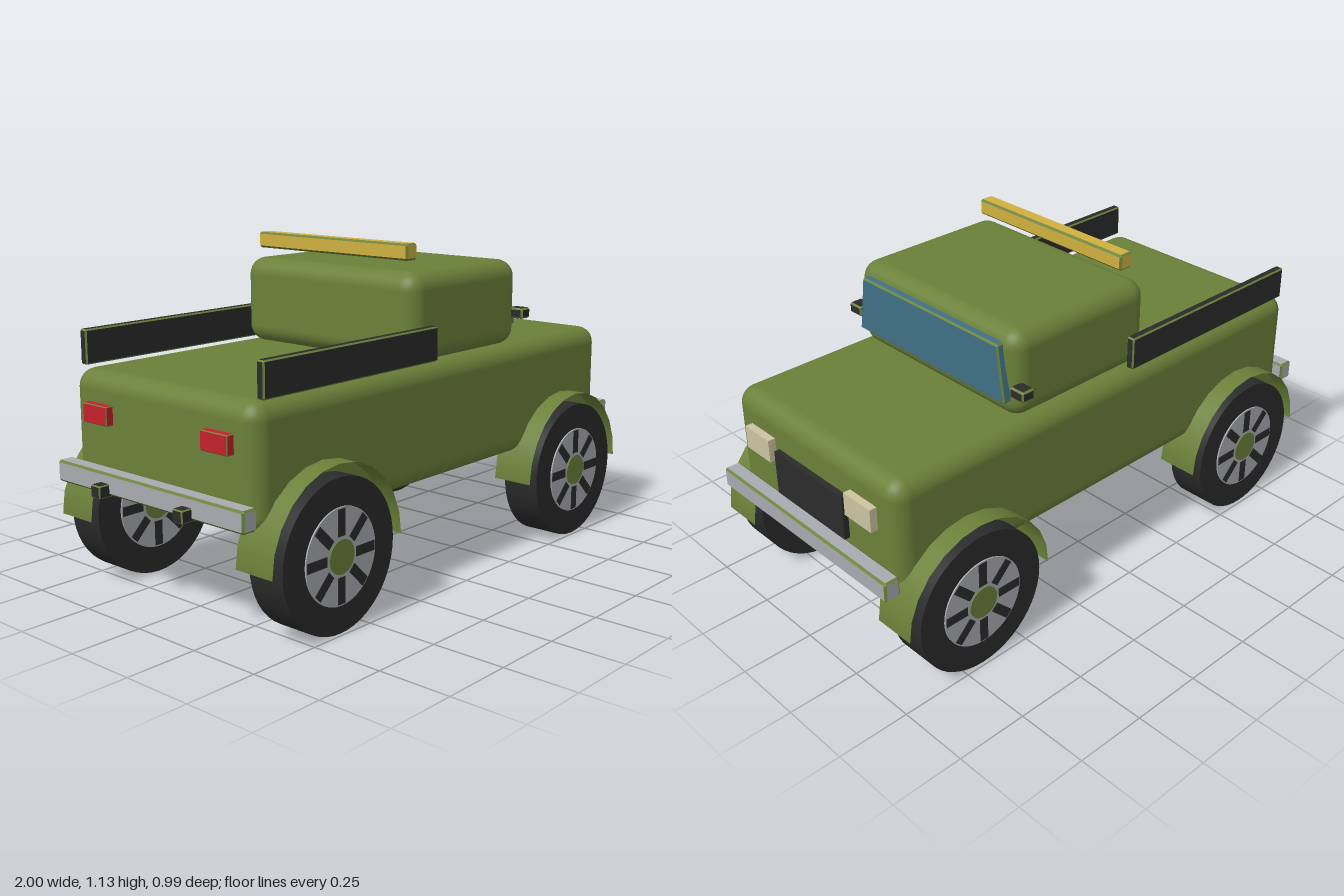
import * as THREE from 'three';
import { RoundedBoxGeometry } from 'three/addons/geometries/RoundedBoxGeometry.js';
import { ConvexGeometry } from 'three/addons/geometries/ConvexGeometry.js';

const material = (name, color, side = THREE.FrontSide) => {
  const m = new THREE.MeshStandardMaterial({ color, side });
  m.name = name;
  return m;
};

export function createModel() {
  const green = material('olive paint', 0x6b8039, THREE.DoubleSide);
  const dark = material('black rubber', 0x2b2b2b);
  const steel = material('steel', 0xa9abb0);
  const amber = material('amber lamp', 0xd0b040);
  const glass = material('window glass', 0x3f7085);
  const red = material('red lamp', 0xc4202a);
  const cream = material('headlamp cream', 0xcdc3a0);

  const truck = new THREE.Group();
  truck.name = 'pickupTruck';

  const add = (name, geometry, mat, parent = truck) => {
    const mesh = new THREE.Mesh(geometry, mat);
    mesh.name = name;
    parent.add(mesh);
    return mesh;
  };

  // Places a geometry at the middle of [x0, x1, y0, y1, z0, z1]
  const size = ([x0, x1, y0, y1, z0, z1]) => [x1 - x0, y1 - y0, z1 - z0];
  const place = (mesh, [x0, x1, y0, y1, z0, z1]) =>
    mesh.position.set((x0 + x1) / 2, (y0 + y1) / 2, (z0 + z1) / 2);

  const rounded = (name, range, radius) =>
    place(add(name, new RoundedBoxGeometry(...size(range), 4, radius), green), range);

  const plain = (name, range, mat) =>
    place(add(name, new THREE.BoxGeometry(...size(range)), mat), range);

  // Chamfered box: coloured faces, green bevels, optional narrowing at the top
  const trimmed = (name, range, mat, bevel = 0.007, taper = 1) => {
    const half = size(range).map((s) => s / 2);
    const points = [];
    for (const sx of [-1, 1]) for (const sy of [-1, 1]) for (const sz of [-1, 1]) {
      for (let axis = 0; axis < 3; axis++) {
        const p = [sx, sy, sz].map((s, i) => s * (half[i] - (i === axis ? 0 : bevel)));
        if (sy > 0) p[2] *= taper;
        points.push(new THREE.Vector3(...p));
      }
    }
    const geometry = new ConvexGeometry(points);
    const normal = geometry.attributes.normal;
    for (let i = 0; i < normal.count; i += 3) {
      const largest = Math.max(...[normal.getX(i), normal.getY(i), normal.getZ(i)].map(Math.abs));
      geometry.addGroup(i, 3, largest > 0.95 ? 0 : 1);
    }
    place(add(name, geometry, [mat, green]), range);
  };

  // Bodywork
  rounded('body', [-0.9, 0.93, 0.35, 0.75, -0.418, 0.418], 0.06);
  rounded('cab', [-0.16, 0.432, 0.745, 1.045, -0.388, 0.388], 0.06);
  trimmed('windshield', [0.42, 0.455, 0.81, 1.007, -0.358, 0.358], glass, 0.006, 0.92);
  trimmed('roofLightBar', [-0.132, -0.077, 1.08, 1.135, -0.337, 0.337], amber);

  // Bumpers and grille
  trimmed('frontBumper', [0.938, 0.995, 0.385, 0.455, -0.428, 0.428], steel);
  trimmed('rearBumper', [-0.962, -0.905, 0.385, 0.455, -0.428, 0.428], steel);
  plain('grille', [0.92, 0.95, 0.46, 0.616, -0.176, 0.176], dark);

  // Parts mirrored on both sides
  for (const s of [-1, 1]) {
    const side = s > 0 ? 'left' : 'right';
    const span = (a, b) => (s > 0 ? [a, b] : [-b, -a]);
    plain(side + 'Headlight', [0.92, 0.956, 0.567, 0.647, ...span(0.196, 0.324)], cream);
    trimmed(side + 'TailLight', [-0.927, -0.89, 0.59, 0.653, ...span(0.215, 0.33)], red, 0.003);
    trimmed(side + 'BedRail', [-0.862, -0.065, 0.755, 0.87, ...span(0.386, 0.417)], dark, 0.005);
    trimmed(side + 'Mirror', [0.392, 0.443, 0.84, 0.877, ...span(0.37, 0.43)], dark, 0.006);
    trimmed(side + 'TowHook', [-1, -0.92, 0.38, 0.422, ...span(0.168, 0.212)], dark, 0.004);
  }

  // Wheels with slotted rims on both faces, under open half-round fenders
  const disc = (radius, depth, segments) =>
    new THREE.CylinderGeometry(radius, radius, depth, segments).rotateX(Math.PI / 2);
  const arch = new THREE.CylinderGeometry(0.287, 0.287, 0.15, 12, 1, true, 0, Math.PI)
    .rotateX(Math.PI / 2).rotateZ(Math.PI / 2);
  // Keep the arch over the top half of the wheel
  arch.computeBoundingBox();
  if (arch.boundingBox.max.y < 0.1) arch.rotateZ(Math.PI);

  for (const x of [-0.622, 0.673]) for (const s of [-1, 1]) {
    const wheel = new THREE.Group();
    wheel.name = (x > 0 ? 'front' : 'rear') + (s > 0 ? 'Left' : 'Right') + 'Wheel';
    wheel.position.set(x, 0.25, s * 0.42);
    truck.add(wheel);
    add('tire', disc(0.246, 0.135, 48), dark, wheel);
    add('rim', disc(0.155, 0.145, 40), steel, wheel);
    add('hubCap', disc(0.055, 0.152, 24), green, wheel);
    for (let i = 0; i < 8; i++) {
      const slot = new THREE.BoxGeometry(0.085, 0.032, 0.149).translate(0.107, 0, 0);
      add('rimSlot', slot.rotateZ(i * Math.PI / 4), dark, wheel);
    }
    const fender = add('fender', arch, green);
    fender.position.set(x, 0.25, s * 0.412);
  }

  return truck;
}
